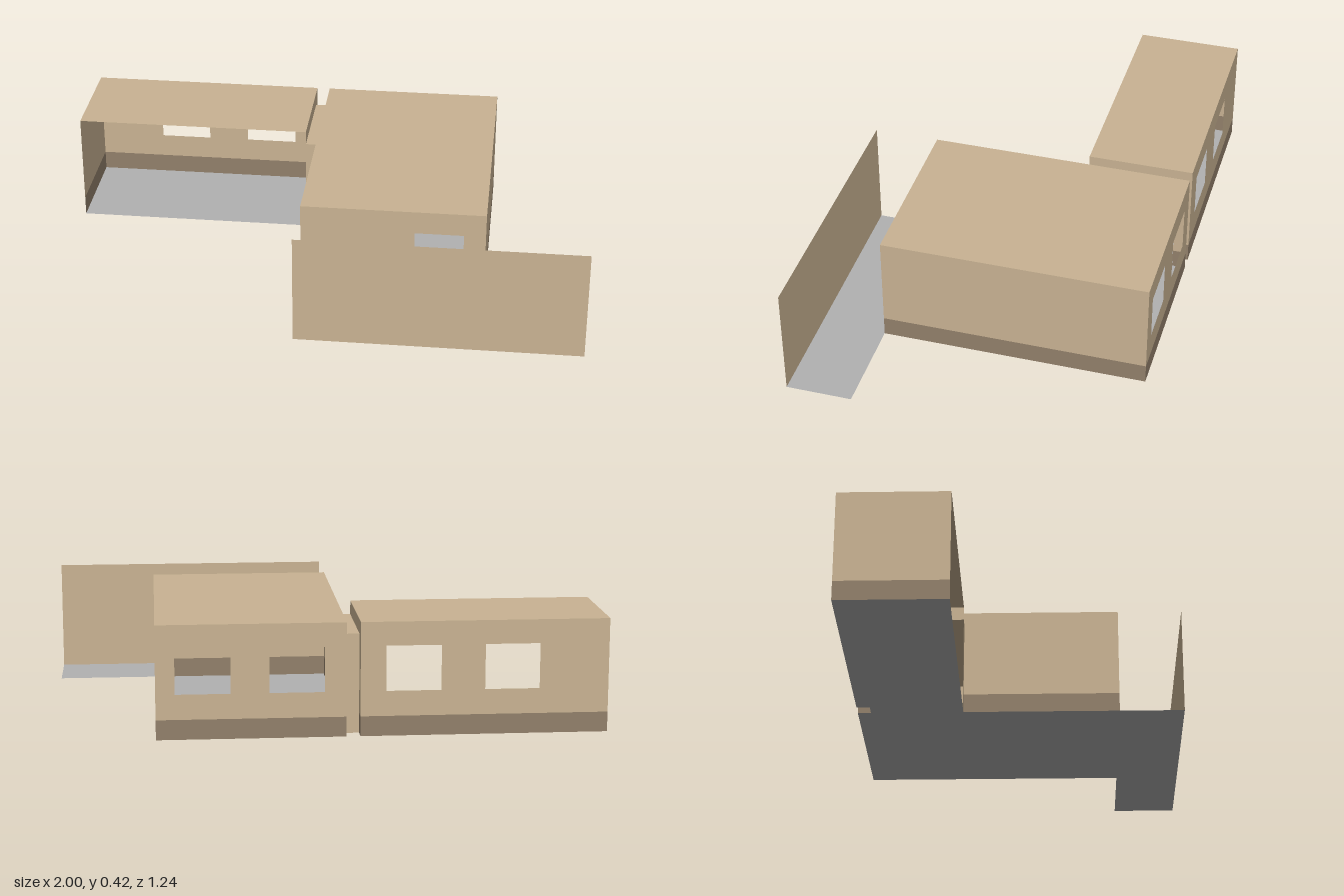
import * as THREE from 'three';

const H = 0.417;        // wall height
const BASE = 0.073;     // height of the painted base band
const LINK_H = 0.365;   // height of the linking passage
const BACK = -0.62;
const WIN = [0.165, 0.33]; // window sill and head

export function createModel() {
  const model = new THREE.Group();
  model.name = 'building';

  const material = (name, color) => {
    const m = new THREE.MeshStandardMaterial({ color, side: THREE.DoubleSide });
    m.name = name;
    return m;
  };
  const tan = material('tan wall', 0xc9b393);
  const brown = material('brown base', 0x92806b);
  const grey = material('grey floor', 0xb2b2b2);

  const group = (name) => {
    const g = new THREE.Group();
    g.name = name;
    model.add(g);
    return g;
  };

  const trace = (path, x0, y0, x1, y1) => {
    path.moveTo(x0, y0);
    path.lineTo(x1, y0);
    path.lineTo(x1, y1);
    path.lineTo(x0, y1);
    path.closePath();
    return path;
  };

  // Upright sheet from plan point a to b; holes are [start, end] distances along it
  function panel(parent, name, a, b, y0, y1, mat, holes = []) {
    const dx = b[0] - a[0], dz = b[1] - a[1];
    const shape = trace(new THREE.Shape(), 0, y0, Math.hypot(dx, dz), y1);
    for (const [s, e] of holes) shape.holes.push(trace(new THREE.Path(), s, WIN[0], e, WIN[1]));
    const mesh = new THREE.Mesh(new THREE.ShapeGeometry(shape), mat);
    mesh.name = name;
    mesh.position.set(a[0], 0, a[1]);
    mesh.rotation.y = Math.atan2(-dz, dx);
    parent.add(mesh);
  }

  // Wall with a painted base band
  function wall(parent, name, a, b, holes) {
    panel(parent, name + 'Base', a, b, 0, BASE, brown);
    panel(parent, name, a, b, BASE, H, tan, holes);
  }

  // Level sheet, used for floors and roofs
  function slab(parent, name, x0, x1, z0, z1, y, mat) {
    const geo = new THREE.PlaneGeometry(x1 - x0, z1 - z0).rotateX(-Math.PI / 2);
    const mesh = new THREE.Mesh(geo, mat);
    mesh.name = name;
    mesh.position.set((x0 + x1) / 2, y, (z0 + z1) / 2);
    parent.add(mesh);
  }

  // Side wing, open at the front and toward the passage
  const wx0 = -1, wx1 = -0.105, wz = -0.22;
  const wing = group('sideWing');
  slab(wing, 'wingFloor', wx0, wx1, BACK, wz, 0, grey);
  slab(wing, 'wingRoof', wx0, wx1, BACK, wz, H, tan);
  wall(wing, 'wingBackWall', [wx0, BACK], [wx1, BACK], [[0.25, 0.447], [0.605, 0.803]]);
  wall(wing, 'wingEndWall', [wx0, BACK], [wx0, wz]);
  wall(wing, 'wingJamb', [wx1, BACK], [wx1, -0.57]);
  panel(wing, 'wingLintel', [wx1, -0.57], [wx1, wz], LINK_H, H, tan);

  // Main block
  const mx0 = -0.055, mx1 = 0.625, mz = 0.372;
  const main = group('mainBlock');
  slab(main, 'mainFloor', mx0, mx1, BACK, mz, 0, grey);
  slab(main, 'mainRoof', mx0, mx1, BACK, mz, H, tan);
  wall(main, 'mainBackWall', [mx0, BACK], [mx1, BACK], [[0.077, 0.275], [0.413, 0.611]]);
  wall(main, 'mainFrontWall', [mx0, mz], [mx1, mz], [[0.42, 0.6]]);
  wall(main, 'mainLeftWall', [mx1, BACK], [mx1, mz]);
  wall(main, 'mainRightWall', [mx0, wz], [mx0, mz]);
  wall(main, 'mainJamb', [mx0, BACK], [mx0, -0.57]);
  panel(main, 'mainLintel', [mx0, -0.57], [mx0, wz], LINK_H, H, tan);

  // Low passage linking the wing and the main block
  const link = group('passage');
  slab(link, 'passageFloor', wx1, mx0, -0.57, wz, 0, grey);
  slab(link, 'passageRoof', wx1, mx0, -0.57, wz, LINK_H, tan);
  for (const [name, z] of [['passageBackWall', -0.57], ['passageFrontWall', wz]]) {
    panel(link, name, [wx1, z], [mx0, z], 0, LINK_H, tan);
  }

  // Front terrace with its free-standing screen wall
  const terrace = group('terrace');
  slab(terrace, 'terraceFloor', mx0, 1, mz, 0.617, 0, grey);
  panel(terrace, 'screenWall', [mx0, 0.617], [1, 0.617], 0, H, tan);

  return model;
}
